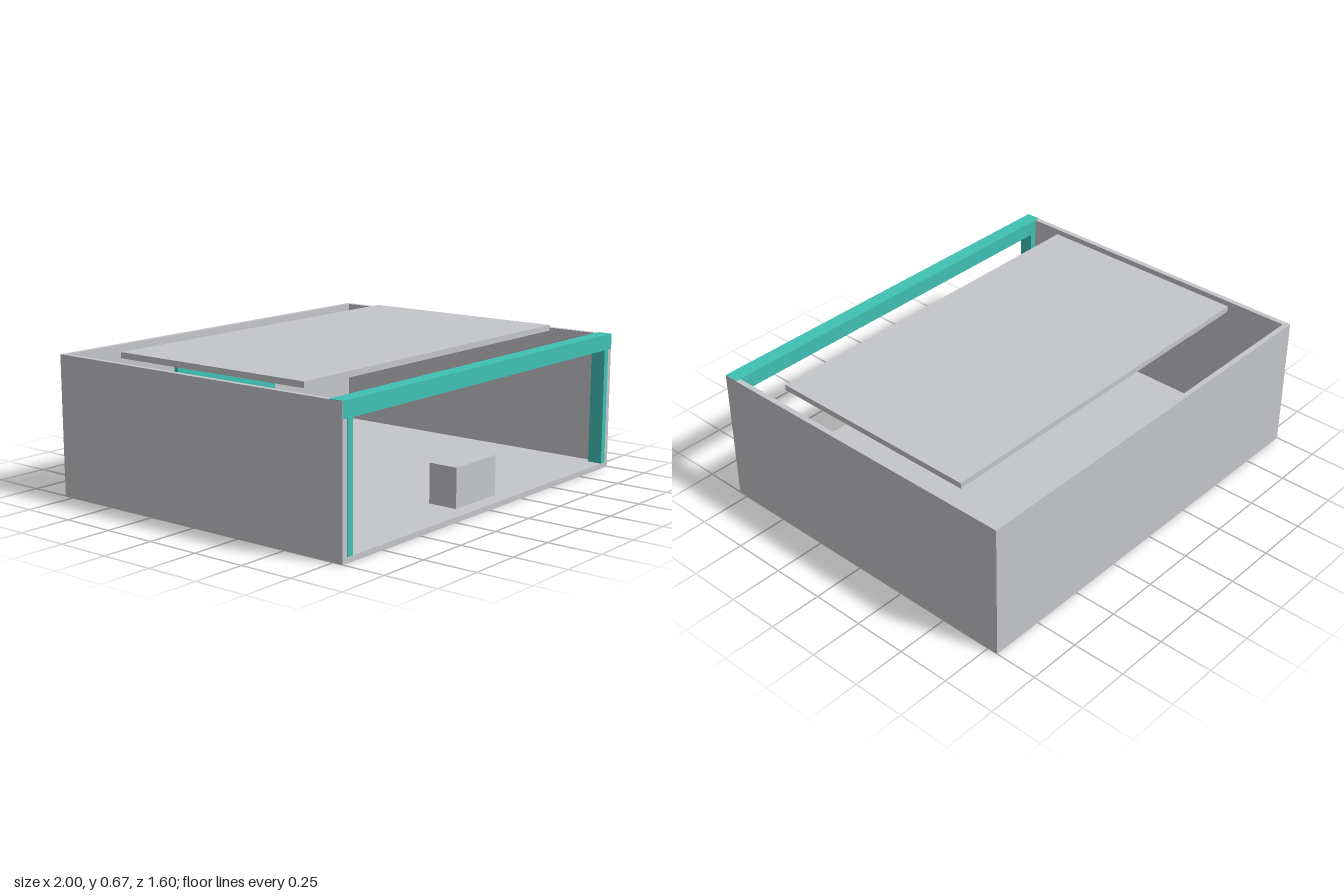
import * as THREE from 'three';

export function createModel() {
  const model = new THREE.Group();
  model.name = 'openBooth';

  const grey = new THREE.MeshStandardMaterial({ color: 0xc5c6ca });
  grey.name = 'light grey';
  const teal = new THREE.MeshStandardMaterial({ color: 0x40c1b4 });
  teal.name = 'teal';

  // Box given by its lower and upper limits on each axis
  function block(name, material, [x0, x1], [y0, y1], [z0, z1]) {
    const mesh = new THREE.Mesh(new THREE.BoxGeometry(x1 - x0, y1 - y0, z1 - z0), material);
    mesh.position.set((x0 + x1) / 2, (y0 + y1) / 2, (z0 + z1) / 2);
    mesh.name = name;
    model.add(mesh);
  }

  // Shell: floor, back wall and two side walls
  block('floor', grey, [-0.975, 0.975], [0, 0.025], [-0.775, 0.8]);
  block('backWall', grey, [-0.975, 0.975], [0, 0.643], [-0.8, -0.775]);
  for (const [side, s] of [['left', 1], ['right', -1]]) {
    const span = (a, b) => (s > 0 ? [a, b] : [-b, -a]);
    block(side + 'Wall', grey, span(0.975, 1), [0, 0.643], [-0.8, 0.798]);
    // Slim post beside the open front
    block(side + 'Post', teal, span(0.94, 0.972), [0.025, 0.575], [0.73, 0.8]);
  }

  // Beam over the open front
  block('frontBeam', teal, [-0.999, 0.999], [0.573, 0.645], [0.73, 0.8]);

  // Floating ceiling panel
  block('ceilingPanel', grey, [-0.9, 0.9], [0.643, 0.67], [-0.52, 0.52]);

  // Wall display with its mount
  block('displayMount', grey, [-0.33, 0.33], [0.225, 0.525], [-0.775, -0.76]);
  block('displayPanel', teal, [-0.34, 0.34], [0.215, 0.535], [-0.76, -0.74]);

  // Counter near the entrance
  block('counter', grey, [-0.148, 0.148], [0.025, 0.207], [0.585, 0.727]);

  return model;
}
